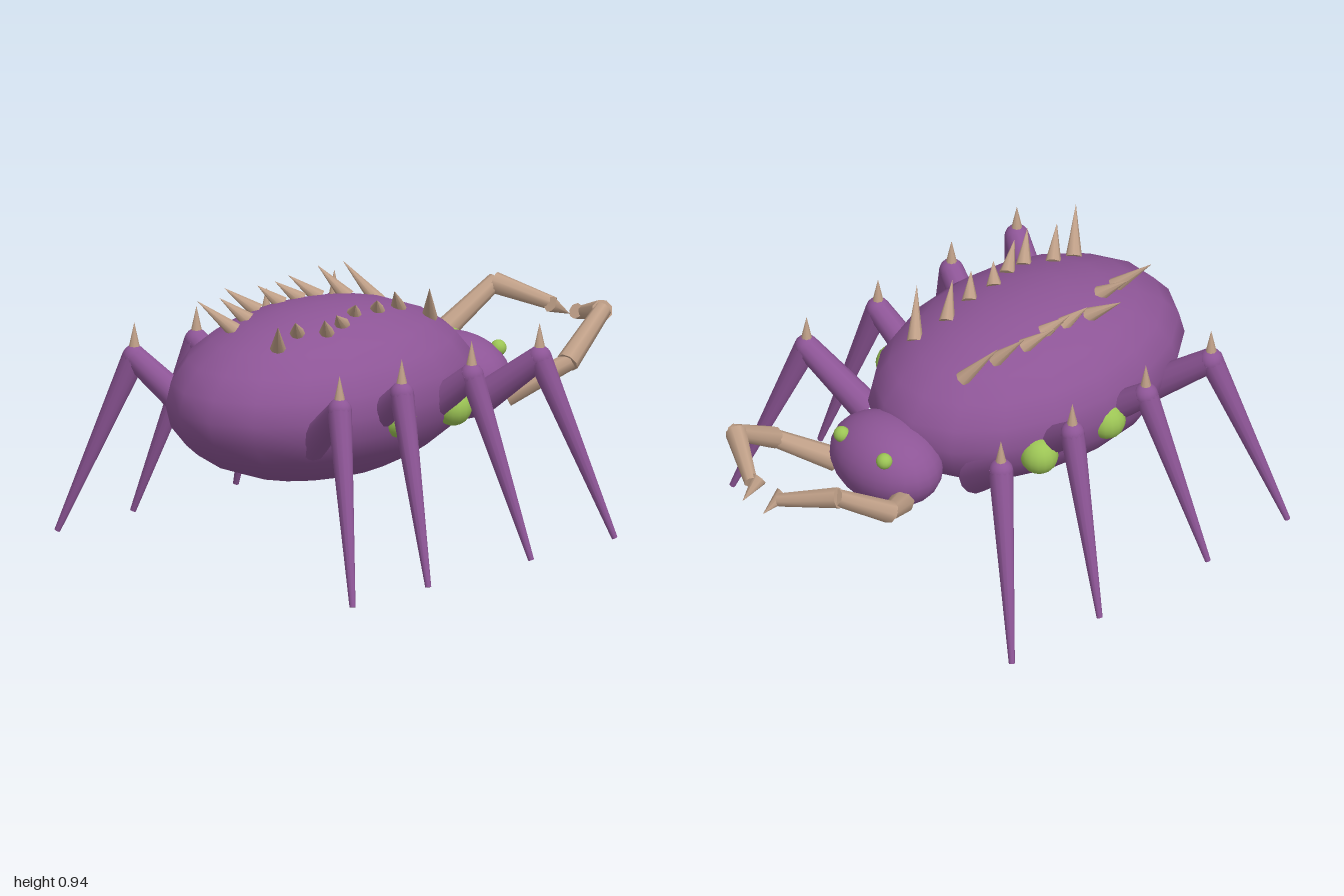
import * as THREE from 'three';

const purple = new THREE.MeshStandardMaterial({ color: 0x8d5596 });
purple.name = 'purple shell';
const tan = new THREE.MeshStandardMaterial({ color: 0xc0a088 });
tan.name = 'tan horn';
const green = new THREE.MeshStandardMaterial({ color: 0x9cc455 });
green.name = 'green glow';

const V = (x, y, z) => new THREE.Vector3(x, y, z);
const UP = V(0, 1, 0);

// Tapered limb or spike from point a to point b
function limb(name, a, b, ra, rb, mat, sides = 10) {
  const dir = b.clone().sub(a);
  const mesh = new THREE.Mesh(new THREE.CylinderGeometry(rb, ra, dir.length(), sides), mat);
  mesh.position.copy(a).add(b).multiplyScalar(0.5);
  mesh.quaternion.setFromUnitVectors(UP, dir.normalize());
  mesh.name = name;
  return mesh;
}

// Ellipsoid with the given centre and radii
function ball(name, c, r, mat, seg = 16, rings = 12, phi = 0) {
  const geo = new THREE.SphereGeometry(1, seg, rings, phi);
  geo.scale(r.x, r.y, r.z);
  const mesh = new THREE.Mesh(geo, mat);
  mesh.position.copy(c);
  mesh.name = name;
  return mesh;
}

const BODY = V(-0.35, 0.573, 0), BODY_R = V(0.66, 0.32, 0.45);

// Height of the back at a given x and z
function backHeight(x, z) {
  const u = (x - BODY.x) / BODY_R.x, w = z / BODY_R.z;
  return BODY.y + BODY_R.y * Math.sqrt(Math.max(0, 1 - u * u - w * w));
}

export function createModel() {
  const model = new THREE.Group();
  model.add(ball('body', BODY, BODY_R, purple, 18, 12, Math.PI / 18));
  model.add(ball('head', V(0.335, 0.49, 0), V(0.18, 0.16, 0.235), purple, 24, 16));

  // Hip, knee and foot x for each pair of legs
  const legs = [[-0.69, -0.78, -0.945], [-0.41, -0.46, -0.555], [-0.14, -0.1, -0.025], [0.165, 0.25, 0.405]];
  // Back spines: base x, base z, tip x, tip z
  const spines = {
    '1': [[-0.71, 0.14, -0.82, 0.25], [-0.6, 0.13, -0.7, 0.22], [-0.51, 0.19, -0.6, 0.27], [-0.42, 0.18, -0.52, 0.25],
      [-0.32, 0.14, -0.37, 0.2], [-0.2, 0.14, -0.27, 0.21], [-0.07, 0.12, -0.17, 0.2], [0.05, 0.16, -0.05, 0.26]],
    '-1': [[-0.68, 0.11, -0.77, 0.215], [-0.59, 0.13, -0.65, 0.22], [-0.47, 0.2, -0.54, 0.305], [-0.36, 0.19, -0.43, 0.245],
      [-0.27, 0.18, -0.345, 0.24], [-0.17, 0.185, -0.25, 0.265], [-0.05, 0.16, -0.11, 0.255], [0.08, 0.13, 0, 0.235]],
  };

  for (const s of [1, -1]) {
    const side = s > 0 ? 'front' : 'rear';

    legs.forEach(([hx, kx, fx], i) => {
      const leg = new THREE.Group();
      leg.name = `${side}Leg${i + 1}`;
      const hip = V(hx, 0.475, s * 0.29), knee = V(kx, 0.67, s * 0.525);
      leg.add(limb('upperLeg', hip, knee, 0.06, 0.045, purple, 12));
      leg.add(ball('knee', knee, V(0.045, 0.045, 0.045), purple));
      leg.add(limb('lowerLeg', knee, V(fx, 0.005, s * 0.755), 0.045, 0.011, purple, 12));
      leg.add(limb('kneeSpike', V(kx, 0.69, s * 0.525), V(kx, 0.8, s * 0.525), 0.024, 0, tan, 8));
      model.add(leg);
    });

    // Glowing spots on the flank and the eye
    model.add(ball(`${side}FlankSpot1`, V(-0.37, 0.54, s * 0.412), V(0.07, 0.07, 0.07), green));
    model.add(ball(`${side}FlankSpot2`, V(-0.06, 0.52, s * 0.39), V(0.07, 0.07, 0.07), green));
    model.add(ball(`${side}Eye`, V(0.45, 0.59, s * 0.115), V(0.03, 0.03, 0.03), green));

    // Jointed pincer
    const pincer = new THREE.Group();
    pincer.name = `${side}Pincer`;
    const p = [V(0.42, 0.43, s * 0.18), V(0.615, 0.55, s * 0.325), V(0.83, 0.695, s * 0.275), V(0.93, 0.625, s * 0.075)];
    pincer.add(limb('pincerBase', p[0], p[1], 0.045, 0.032, tan, 8));
    pincer.add(limb('pincerMiddle', p[1].clone().lerp(p[0], 0.06), p[2], 0.042, 0.032, tan, 8));
    pincer.add(limb('pincerEnd', p[2].clone().lerp(p[1], 0.04), p[3], 0.04, 0.025, tan, 8));
    pincer.add(limb('pincerTip', V(0.9, 0.632, s * 0.065), V(0.99, 0.58, s * 0.055), 0.03, 0, tan, 8));
    model.add(pincer);

    // Row of spines leaning backwards and outwards
    spines[s].forEach(([bx, bz, tx, tz], i) => {
      const base = V(bx, backHeight(bx, bz) - 0.01, s * bz);
      const tip = V(tx, i < 1 || i > 5 ? 0.938 : 0.925, s * tz);
      model.add(limb(`${side}Spine${i + 1}`, base, tip, 0.03, 0, tan, 8));
    });
  }
  return model;
}
